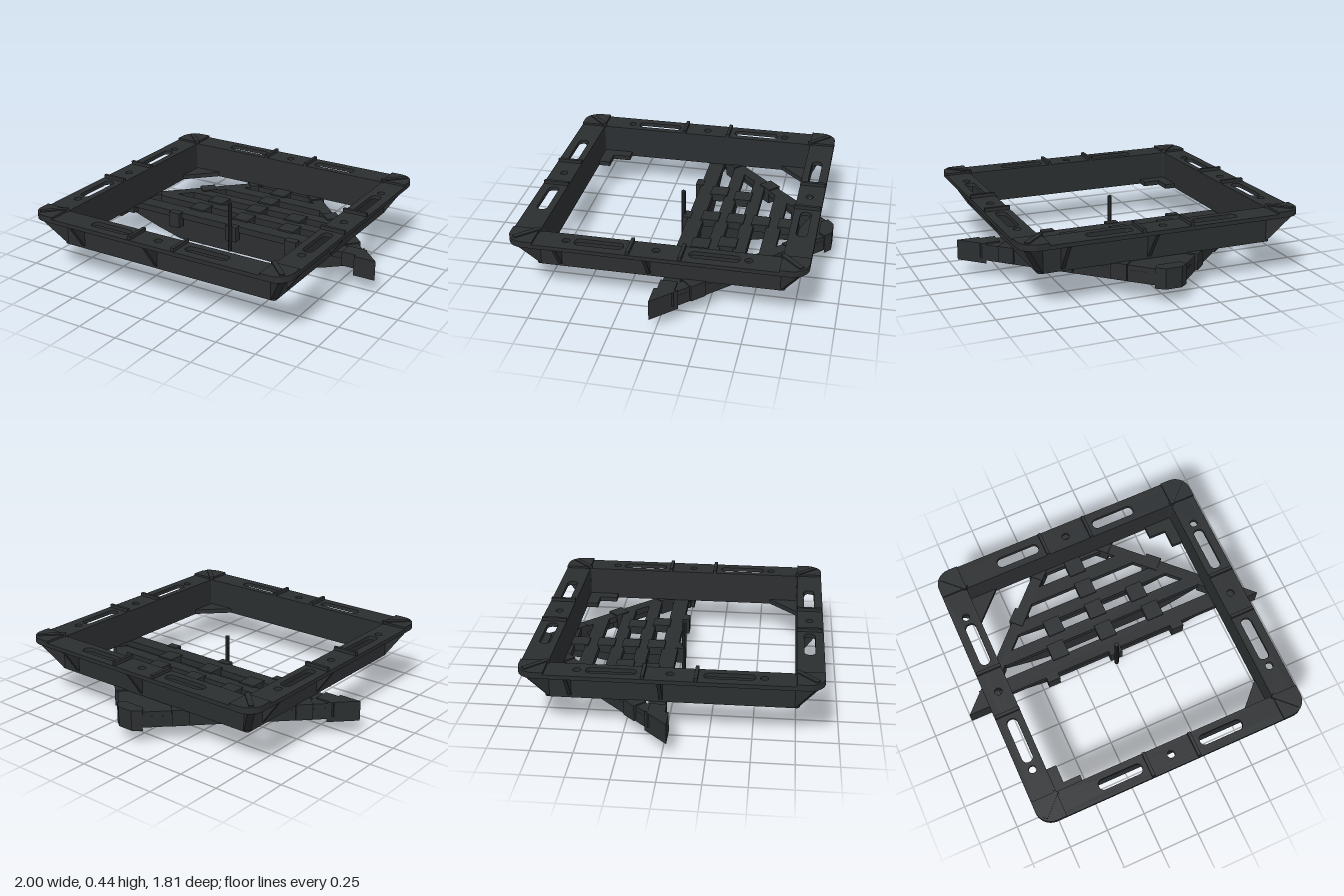
import * as THREE from 'three';

const material = new THREE.MeshStandardMaterial({ color: 0x2b2e30, roughness: 0.8, flatShading: true });

function add(parent, name, geometry, x = 0, y = 0, z = 0) {
  const mesh = new THREE.Mesh(geometry, material);
  mesh.name = name;
  mesh.position.set(x, y, z);
  parent.add(mesh);
  return mesh;
}
const box = (w, h, d) => new THREE.BoxGeometry(w, h, d);
const toShape = (pts) => new THREE.Shape(pts.map(([x, z]) => new THREE.Vector2(x, -z)));

// Plan outline in x, z raised from y0 to y1
function slab(shape, y0, y1) {
  const g = new THREE.ExtrudeGeometry(shape, { depth: y1 - y0, bevelEnabled: false, curveSegments: 8 });
  return g.rotateX(-Math.PI / 2).translate(0, y0, 0);
}
// Upright profile in x, y with thickness along z, centred
function web(pts, thickness) {
  const s = new THREE.Shape(pts.map(([x, y]) => new THREE.Vector2(x, y)));
  const g = new THREE.ExtrudeGeometry(s, { depth: thickness, bevelEnabled: false });
  return g.translate(0, 0, -thickness / 2);
}
function roundedRect(target, cx, cy, hw, hh, r) {
  target.moveTo(cx + hw, cy - hh + r);
  [[1, 1, 0], [-1, 1, 1], [-1, -1, 2], [1, -1, 3]].forEach(([sx, sy, q]) =>
    target.absarc(cx + sx * (hw - r), cy + sy * (hh - r), r, q * Math.PI / 2, (q + 1) * Math.PI / 2, false));
  target.closePath();
  return target;
}

function buildFrame() {
  const frame = new THREE.Group();
  frame.name = 'frame';
  frame.position.z = 0.03;

  // Top flange with long slots and bolt holes
  const flange = roundedRect(new THREE.Shape(), 0, 0, 0.87, 0.87, 0.1);
  const hole = (cx, cy, hw, hh, r) => flange.holes.push(roundedRect(new THREE.Path(), cx, cy, hw, hh, r));
  hole(0, 0, 0.71, 0.71, 0.01);
  for (const s of [1, -1]) {
    hole(0, s * 0.785, 0.023, 0.023, 0.0229);
    for (const z of [-0.53, 0, 0.53]) hole(s * 0.785, z, 0.023, 0.023, 0.0229);
    for (const t of [1, -1]) {
      hole(t * 0.33, s * 0.785, 0.14, 0.033, 0.03);
      hole(s * 0.785, t * 0.335, 0.033, 0.145, 0.03);
    }
  }
  add(frame, 'flange', slab(flange, 0.395, 0.42));

  // Vertical skirt under the flange
  const skirt = roundedRect(new THREE.Shape(), 0, 0, 0.735, 0.735, 0.02);
  skirt.holes.push(roundedRect(new THREE.Path(), 0, 0, 0.71, 0.71, 0.01));
  add(frame, 'skirt', slab(skirt, 0.21, 0.4));

  // Each side repeats by a quarter turn
  for (let i = 0; i < 4; i++) {
    const side = new THREE.Group();
    side.name = 'frameSide';
    side.rotation.y = i * Math.PI / 2;
    frame.add(side);
    for (const x of [-0.15, 0.15]) add(side, 'flangeRidge', box(0.02, 0.022, 0.155), x, 0.43, 0.787);
    const gusset = [[0.725, 0.21], [0.86, 0.4], [0.725, 0.4]];
    for (const x of [-0.59, -0.06]) {
      add(side, 'gusset', web(gusset, 0.022).rotateY(-Math.PI / 2), x);
    }
    // Raised corner with a diagonal rib below it
    const pad = new THREE.Shape();
    pad.moveTo(0.71, -0.71);
    pad.lineTo(0.71, -0.87);
    pad.lineTo(0.77, -0.87);
    pad.absarc(0.77, -0.77, 0.1, -Math.PI / 2, 0, false);
    pad.lineTo(0.87, -0.71);
    add(side, 'cornerPad', slab(pad, 0.42, 0.433));
    const ridge = add(side, 'cornerRidge', box(0.17, 0.02, 0.03), 0.77, 0.43, 0.77);
    ridge.rotation.y = -Math.PI / 4;
    const rib = add(side, 'cornerRib', web([[1.02, 0.21], [1.18, 0.4], [1.02, 0.4]], 0.04));
    rib.rotation.y = -Math.PI / 4;
    // Corner seats alternate between a plain triangle and a stepped block
    const seat = i % 2 === 0
      ? [[0.72, 0.72], [0.52, 0.72], [0.72, 0.52]]
      : [[0.72, 0.72], [0.52, 0.72], [0.52, 0.64], [0.635, 0.64], [0.635, 0.53], [0.72, 0.53]];
    add(side, 'cornerSeat', slab(toShape(seat), 0.21, 0.24));
  }
  return frame;
}

function buildCover() {
  const cover = new THREE.Group();
  cover.name = 'cover';

  // Triangular grate: rows of openings follow the two slanted legs
  const plate = toShape([[-0.96, 0], [0.96, 0], [0.07, -0.89], [-0.07, -0.89]]);
  const rows = [[-0.10, -0.18, 0.33], [-0.26, -0.34, 0.29], [-0.42, -0.50, 0], [-0.59, -0.66, 0]];
  const half = 0.055;
  for (const [z0, z1, split] of rows) {
    const e0 = 0.86 + z0, e1 = 0.86 + z1;
    const cells = split
      ? [[half, split - half, split - half], [split + half, e0, e1]]
      : [[half, e0, e1]];
    for (const [a, b0, b1] of cells) {
      for (const s of [1, -1]) {
        plate.holes.push(toShape([[s * a, z0], [s * b0, z0], [s * b1, z1], [s * a, z1]]));
      }
    }
    // Raised treads on the connecting bridges
    for (const x of split ? [-split, 0, split] : [0]) {
      add(cover, 'tread', box(0.11, 0.012, 0.11), x, 0.21, (z0 + z1) / 2);
    }
  }
  add(cover, 'grate', slab(plate, 0.165, 0.206));

  // Bellied blades below the bars, deepest near the long edge
  for (const [z, bottom] of [[-0.06, 0], [-0.215, 0], [-0.38, 0.07], [-0.545, 0.11]]) {
    const L = 0.93 + z;
    const steps = [[0.5, 0], [0.71, 0.42], [0.95, 1], [1, 1]].map(([f, t]) => [L * f, bottom + t * (0.12 - bottom)]);
    const left = steps.map(([x, y]) => [-x, y]).reverse();
    add(cover, 'blade', web([[-L, 0.17], ...left, ...steps, [L, 0.17]], 0.042), 0, 0, z);
  }
  // Centre spine joining the blades
  add(cover, 'spine', web([[0.05, 0], [0.23, 0], [0.37, 0.07], [0.52, 0.1], [0.86, 0.11], [0.86, 0.17], [0.05, 0.17]], 0.03)
    .rotateY(Math.PI / 2));

  for (const s of [1, -1]) {
    // Side rim along each slanted leg
    const rim = add(cover, 'legRim', box(1.2, 0.07, 0.03), s * 0.48, 0.142, -0.46);
    rim.rotation.y = -s * Math.PI / 4;
    for (const d of [0.23, 0.47, 0.74]) {
      const lug = add(cover, 'legLug', box(0.1, 0.1, 0.09), s * d, 0.164, d - 0.92);
      lug.rotation.y = -s * Math.PI / 4;
    }
    // Pointed supporting ear
    add(cover, 'ear', slab(toShape([[s * 0.86, 0.03], [s, 0.03], [s * 0.86, -0.11]]), 0.09, 0.215));
    add(cover, 'earBridge', box(0.12, 0.09, 0.1), s * 0.83, 0.17, -0.04);
    add(cover, 'edgeTab', box(0.08, 0.1, 0.05), s * 0.43, 0.16, 0.01);
  }

  // Hooked tip at the apex
  add(cover, 'tip', slab(toShape([[-0.07, -0.83], [0.07, -0.83], [0.1, -0.87], [0.05, -0.91], [-0.05, -0.91], [-0.1, -0.87]]), 0.12, 0.215));
  add(cover, 'tipHook', slab(toShape([[-0.1, -0.87], [0.1, -0.87], [0.05, -0.91], [-0.05, -0.91]]), 0.09, 0.13));

  // Centre tab with its upright pin
  add(cover, 'centreTab', box(0.08, 0.1, 0.05), 0, 0.16, 0.01);
  add(cover, 'pin', new THREE.CylinderGeometry(0.014, 0.014, 0.33, 10), 0, 0.21, 0.036);
  return cover;
}

export function createModel() {
  const model = new THREE.Group();
  model.name = 'accessCover';
  model.add(buildFrame(), buildCover());
  return model;
}
